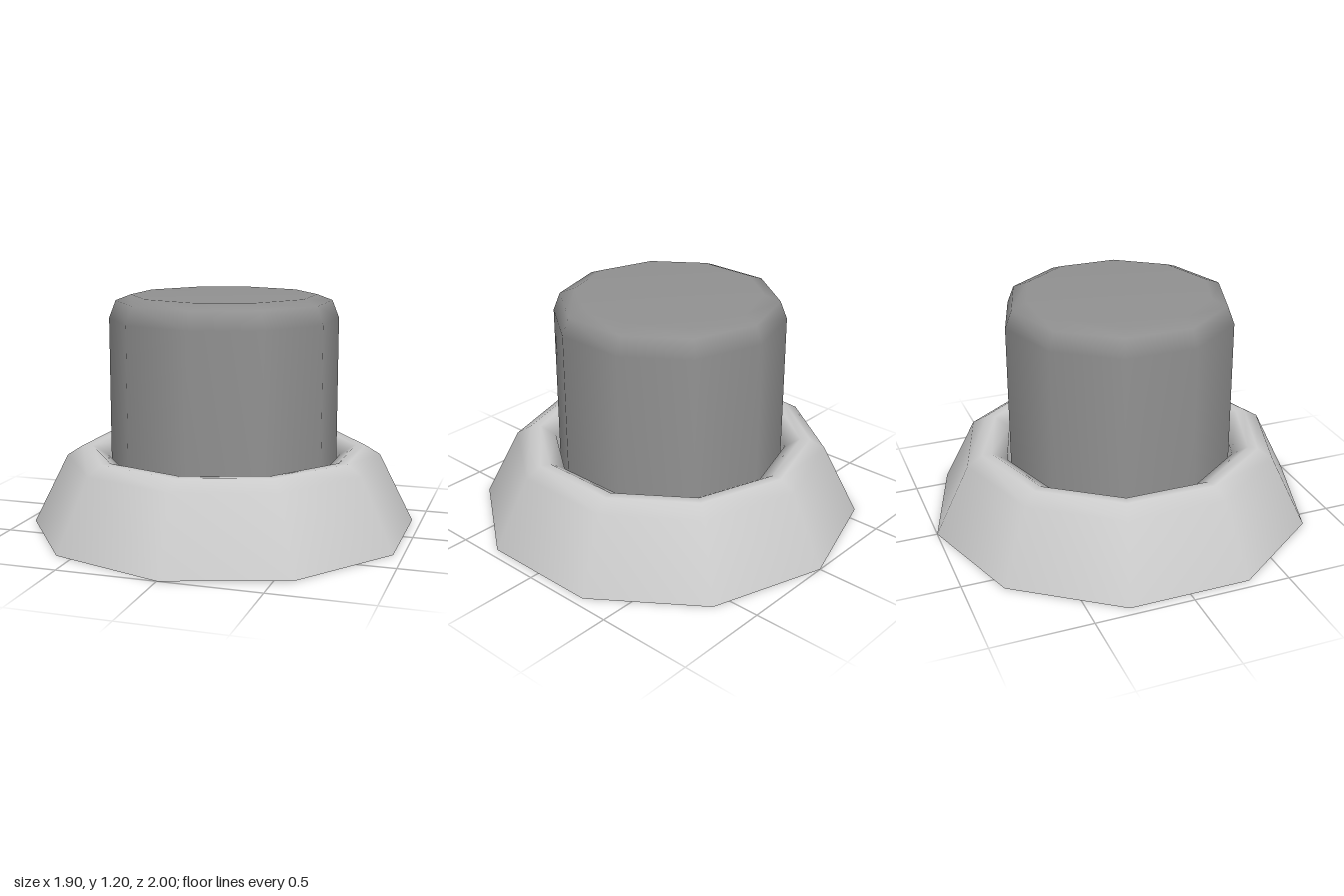
import * as THREE from 'three';

const SIDES = 10;

// Ten-sided turned surface from [radius, height] pairs, a corner facing +z
function turned(name, profile, material) {
  const points = profile.map(([r, y]) => new THREE.Vector2(r, y));
  const mesh = new THREE.Mesh(new THREE.LatheGeometry(points, SIDES), material);
  mesh.name = name;
  return mesh;
}

export function createModel() {
  const baseMaterial = new THREE.MeshStandardMaterial({ color: 0xcccccc, side: THREE.DoubleSide });
  const plungerMaterial = new THREE.MeshStandardMaterial({ color: 0x909090 });

  // Hollow flared skirt with a bevelled rim and an inner collar
  const base = turned('baseRing', [
    [1, 0], [0.82, 0.36], [0.74, 0.41], [0.69, 0.41], [0.61, 0.36], [0.61, 0],
  ], baseMaterial);

  // Button body with rounded shoulder and flat top
  const plunger = new THREE.Group();
  plunger.name = 'plunger';
  plunger.add(
    turned('plungerBody', [
      [0.59, 0], [0.59, 1.08], [0.555, 1.17], [0.477, 1.2], [0, 1.2],
    ], plungerMaterial),
    turned('plungerBottom', [[0, 0], [0.59, 0]], plungerMaterial),
  );

  const model = new THREE.Group();
  model.name = 'pushButton';
  model.add(base, plunger);
  return model;
}
